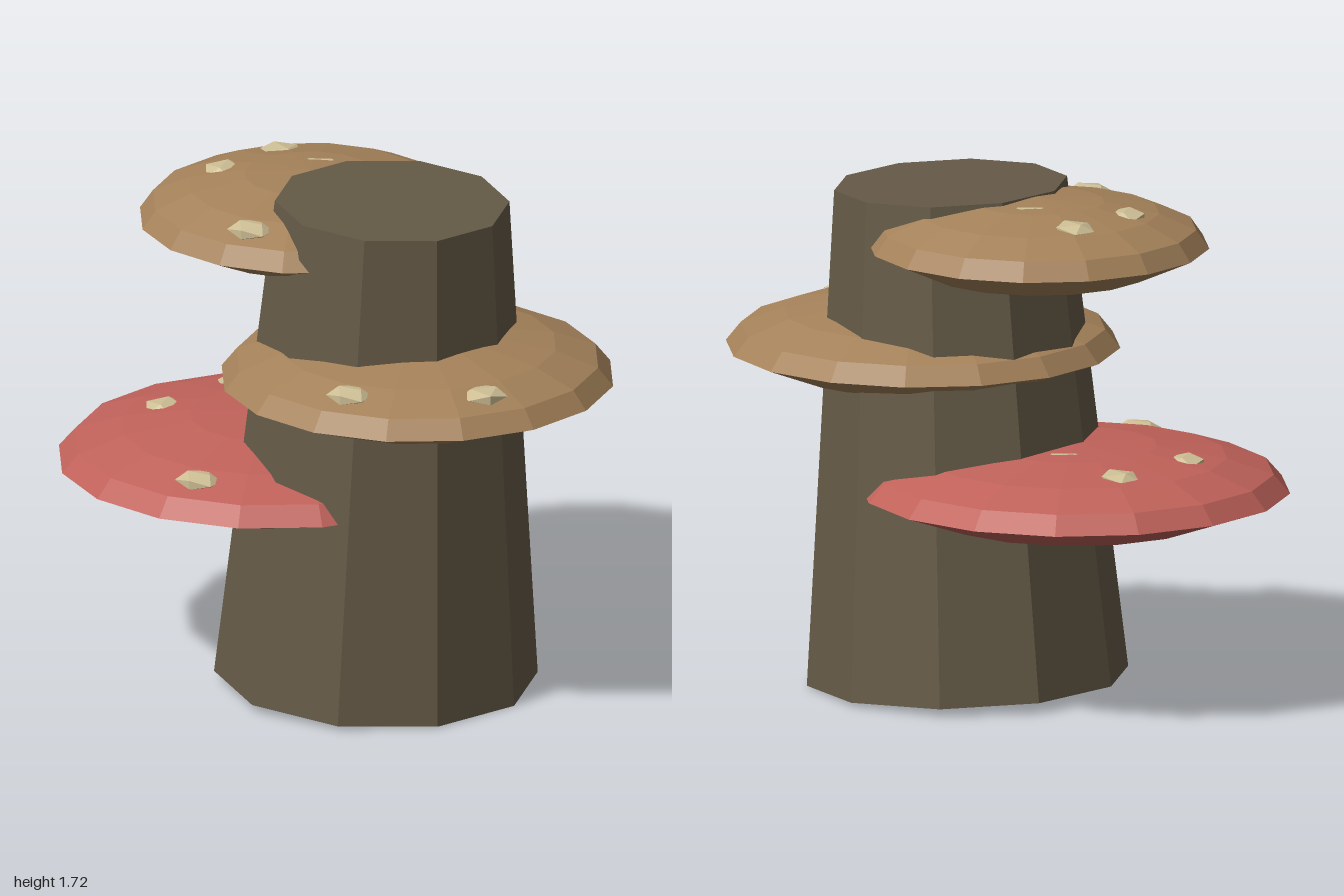
import * as THREE from 'three';

const mat = (name, color) => {
  const m = new THREE.MeshStandardMaterial({ color, flatShading: true });
  m.name = name;
  return m;
};

export function createModel() {
  const bark = mat('bark brown', 0x655a47);
  const tan = mat('cap tan', 0xa5825a);
  const red = mat('cap red', 0xc0625a);
  const cream = mat('spot cream', 0xcdbe94);
  const root = new THREE.Group();
  root.name = 'shelfMushroomTrunk';

  // Tapered ten-sided trunk, leaning slightly towards +x
  const trunk = new THREE.Mesh(
    new THREE.CylinderGeometry(0.395, 0.545, 1.69, 10, 1, false, Math.PI / 2), bark);
  trunk.name = 'trunk';
  trunk.position.set(0.168, 0.867, 0);
  trunk.rotation.z = -0.038;
  root.add(trunk);

  // Spots: angle from +x towards +z in degrees, distance as share of cap radius, height over rim
  const spots = [
    [85, 0.76, 0.093], [32, 0.757, 0.093], [171, 0.54, 0.12], [221, 0.55, 0.12], [255, 0.23, 0.133],
  ];
  const spotGeometry = new THREE.IcosahedronGeometry(0.083, 0);

  // Shelf cap: domed top, sharp rim, tapered underside with a shallow hollow
  function addCap(name, material, radius, x, y, z) {
    const cap = new THREE.Group();
    cap.name = name;
    cap.position.set(x, y, z);
    const profile = [
      new THREE.Vector2(0, -0.05),
      new THREE.Vector2(radius * 0.66, -0.088),
    ];
    for (let i = 0; i <= 4; i++) {
      const a = (i * Math.PI) / 8;
      profile.push(new THREE.Vector2(i === 4 ? 0 : radius * Math.cos(a), 0.165 * Math.sin(a)));
    }
    const shell = new THREE.Mesh(new THREE.LatheGeometry(profile, 16), material);
    shell.name = name + 'Shell';
    cap.add(shell);

    spots.forEach(([deg, share, height], i) => {
      const a = THREE.MathUtils.degToRad(deg);
      const spot = new THREE.Mesh(spotGeometry, cream);
      spot.name = name + 'Spot' + (i + 1);
      spot.position.set(Math.cos(a) * share * radius, height, Math.sin(a) * share * radius);
      spot.rotation.y = i * 0.9;
      spot.scale.set(1, 0.36, 0.9);
      cap.add(spot);
    });
    root.add(cap);
  }

  addCap('lowerCap', red, 0.725, -0.275, 0.71, -0.005);
  addCap('middleCap', tan, 0.665, 0.335, 1.132, 0.058);
  addCap('upperCap', tan, 0.575, -0.183, 1.557, -0.092);

  return root;
}
